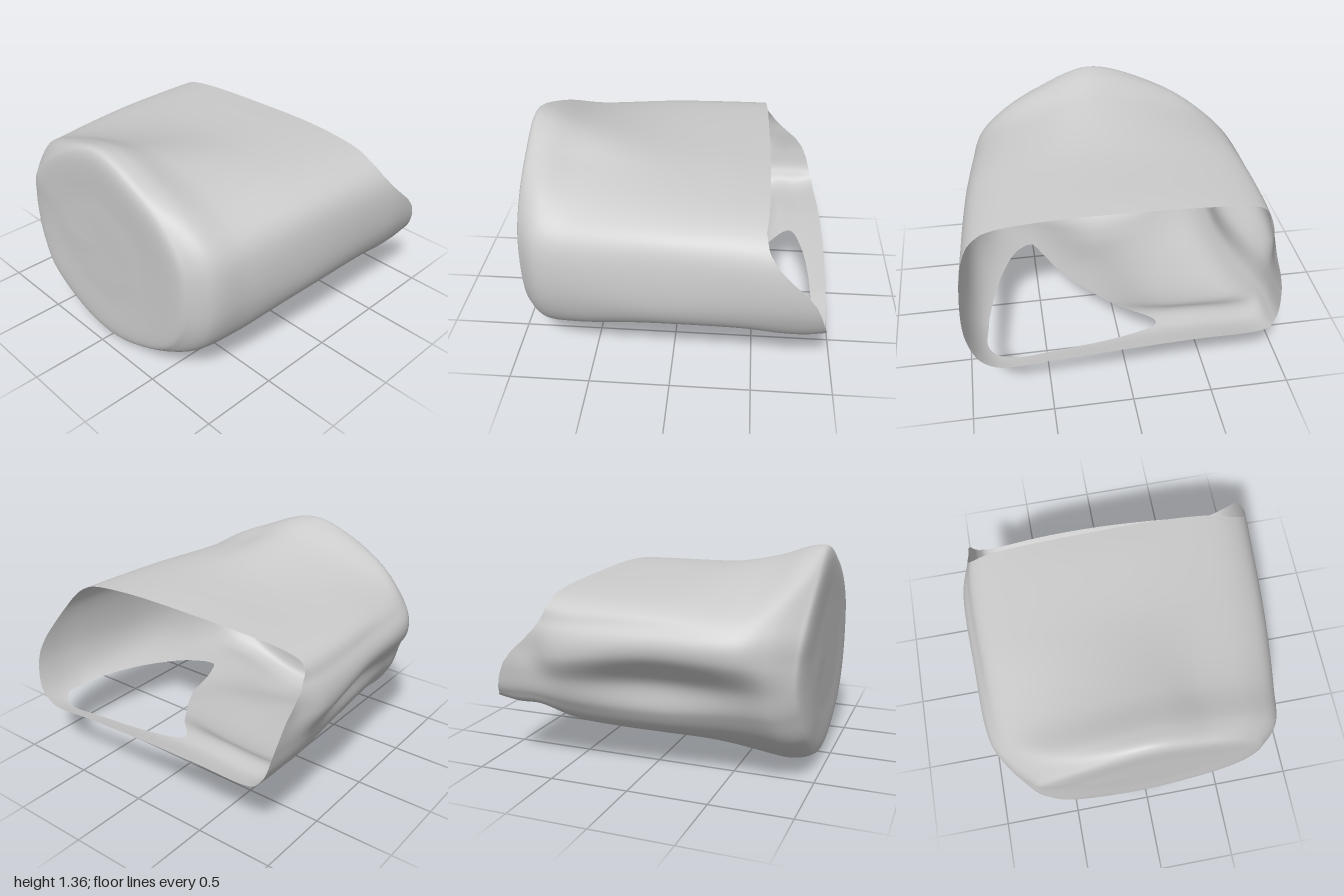
import * as THREE from 'three';
import { mergeVertices } from 'three/addons/utils/BufferGeometryUtils.js';

// Cross-sections as z, y pairs: top centre, down the front (+z), along the bottom, up the back
const capRing = [0, 1.355, 0.36, 1.23, 0.6, 1.07, 0.74, 0.85, 0.73, 0.5, 0.58, 0.25, 0.3, 0.1,
  0, 0.04, -0.3, 0.11, -0.56, 0.28, -0.69, 0.46, -0.74, 0.62, -0.74, 0.78, -0.67, 0.97, -0.38, 1.22];
const nearRing = [0, 1.275, 0.38, 1.2, 0.7, 1.08, 0.87, 0.9, 0.89, 0.55, 0.76, 0.28, 0.43, 0.17,
  0.05, 0.04, -0.33, 0.1, -0.62, 0.27, -0.76, 0.45, -0.82, 0.62, -0.935, 0.81, -0.9, 0.97, -0.68, 1.11];
const midRing = [0, 1.175, 0.45, 1.16, 0.78, 1.08, 0.93, 0.92, 0.95, 0.55, 0.8, 0.34, 0.45, 0.25,
  0.12, 0.22, -0.25, 0.17, -0.62, 0.25, -0.78, 0.42, -0.805, 0.62, -0.97, 0.82, -0.94, 0.97, -0.76, 1.1];
const farRing = [0, 1.15, 0.5, 1.14, 0.82, 1.08, 0.97, 0.92, 0.98, 0.58, 0.84, 0.37, 0.5, 0.35,
  0.1, 0.35, -0.3, 0.28, -0.7, 0.3, -0.86, 0.45, -0.92, 0.61, -0.99, 0.77, -0.95, 0.95, -0.78, 1.1];
const mouthRing = [0, 1.14, 0.5, 1.135, 0.82, 1.08, 0.98, 0.92, 0.99, 0.58, 0.83, 0.345, 0.45, 0.37,
  0, 0.4, -0.4, 0.41, -0.78, 0.4, -0.89, 0.49, -0.925, 0.63, -0.93, 0.77, -0.91, 0.95, -0.78, 1.1];
// The lower lip curls up slightly at the very end
const lipRing = mouthRing.map((v, i) => (i % 2 && v < 0.45 ? v + 0.035 : v));

const CENTRE = [0, 0.68];
const scaled = (ring, s) => ring.map((v, i) => CENTRE[i % 2] + (v - CENTRE[i % 2]) * s);
const mixed = (a, b, t) => a.map((v, i) => v + (b[i] - v) * t);

// Sections from the closed end (-x) to the open mouth (+x)
const stations = [
  [-0.953, scaled(capRing, 0)], [-0.953, scaled(capRing, 0.5)], [-0.951, scaled(capRing, 0.95)],
  [-0.925, scaled(capRing, 1.01)], [-0.83, scaled(mixed(capRing, nearRing, 0.4), 1.05)], [-0.6, nearRing],
  [-0.1, midRing], [0.45, farRing], [0.66, mouthRing], [0.82, mouthRing], [0.98, lipRing],
];

// The closed end is slightly skewed, with its back edge turned away
const skew = (x, z) => (x < -0.5 ? 0.022 * z : 0) + (x < -0.8 ? 0.25 * Math.max(0, -z - 0.58) : 0);

// Outline of the opening in the underside, as x, z
const holeCurve = new THREE.CatmullRomCurve3([
  [0.75, -0.18], [0.57, -0.02], [0.14, 0.28], [-0.28, 0.46], [-0.38, 0.52], [-0.27, 0.63],
  [0.05, 0.75], [0.4, 0.83], [0.6, 0.86], [0.77, 0.86], [0.845, 0.72], [0.86, 0.4], [0.82, 0],
].map(([x, z]) => new THREE.Vector3(x, 0, z)), true);
const holePoints = holeCurve.getPoints(90).slice(0, -1);

// Signed distance to the underside opening, positive outside
function outsideHole(p) {
  if (p.y > 0.5) return 1;
  let inside = false, best = Infinity;
  holePoints.forEach((a, i) => {
    const b = holePoints[(i + 1) % holePoints.length];
    const dx = b.x - a.x, dz = b.z - a.z;
    const t = THREE.MathUtils.clamp(((p.x - a.x) * dx + (p.z - a.z) * dz) / (dx * dx + dz * dz), 0, 1);
    best = Math.min(best, Math.hypot(p.x - a.x - dx * t, p.z - a.z - dz * t));
    if ((a.z > p.z) !== (b.z > p.z) && p.x < a.x + (dx * (p.z - a.z)) / dz) inside = !inside;
  });
  return inside ? -best : best;
}

// How far the wall reaches at each height: short at the top, long at the bottom
const reach = [[0.46, 0.925], [0.6, 0.885], [0.68, 0.85], [0.76, 0.79], [0.84, 0.7], [0.92, 0.62],
  [1, 0.565], [1.07, 0.545], [1.16, 0.575]];
function beforeMouth(p) {
  if (p.y < 0.46) return 0.968 - 0.045 * p.z * p.z - p.x;
  let i = 0;
  while (i < reach.length - 2 && p.y > reach[i + 1][0]) i++;
  const [[y0, x0], [y1, x1]] = [reach[i], reach[i + 1]];
  return x0 + ((x1 - x0) * Math.min(p.y - y0, y1 - y0)) / (y1 - y0) - p.x;
}

// Keep the part of a polygon where the rule is positive
function clip(poly, rule) {
  const out = [];
  const values = poly.map(rule);
  poly.forEach((a, i) => {
    const k = (i + 1) % poly.length;
    if (values[i] >= 0) out.push(a);
    if ((values[i] >= 0) !== (values[k] >= 0)) {
      out.push(a.clone().lerp(poly[k], values[i] / (values[i] - values[k])));
    }
  });
  return out;
}

function shellGeometry(around, along) {
  // Long curves through matching points of every section
  const columns = Array.from({ length: capRing.length / 2 }, (_, c) => new THREE.CatmullRomCurve3(
    stations.map(([x, ring]) => {
      const z = ring[2 * c], y = ring[2 * c + 1];
      return new THREE.Vector3(x + skew(x, z), y, z);
    })));
  const rows = [];
  for (let j = 0; j <= along; j++) {
    const ring = new THREE.CatmullRomCurve3(columns.map((c) => c.getPoint(j / along)), true, 'catmullrom', 0.5);
    rows.push(Array.from({ length: around }, (_, i) => ring.getPoint(i / around)));
  }
  const positions = [];
  for (let j = 0; j < along; j++) {
    for (let i = 0; i < around; i++) {
      const k = (i + 1) % around;
      const [a, b, c, d] = [rows[j][i], rows[j][k], rows[j + 1][k], rows[j + 1][i]];
      for (const tri of [[a, b, c], [a, c, d]]) {
        const poly = clip(clip(tri, beforeMouth), outsideHole);
        for (let n = 1; n < poly.length - 1; n++) {
          for (const p of [poly[0], poly[n], poly[n + 1]]) positions.push(p.x, Math.max(p.y, 0), p.z);
        }
      }
    }
  }
  const geometry = new THREE.BufferGeometry();
  geometry.setAttribute('position', new THREE.Float32BufferAttribute(positions, 3));
  const merged = mergeVertices(geometry, 1e-4);
  merged.computeVertexNormals();
  return merged;
}

export function createModel() {
  const group = new THREE.Group();
  group.name = 'openShell';
  // Thin sleeve: closed at one end, open at the other, with an opening underneath
  const material = new THREE.MeshStandardMaterial({ color: 0xcccccc, side: THREE.DoubleSide });
  const shell = new THREE.Mesh(shellGeometry(150, 130), material);
  shell.name = 'shell';
  group.add(shell);
  return group;
}
